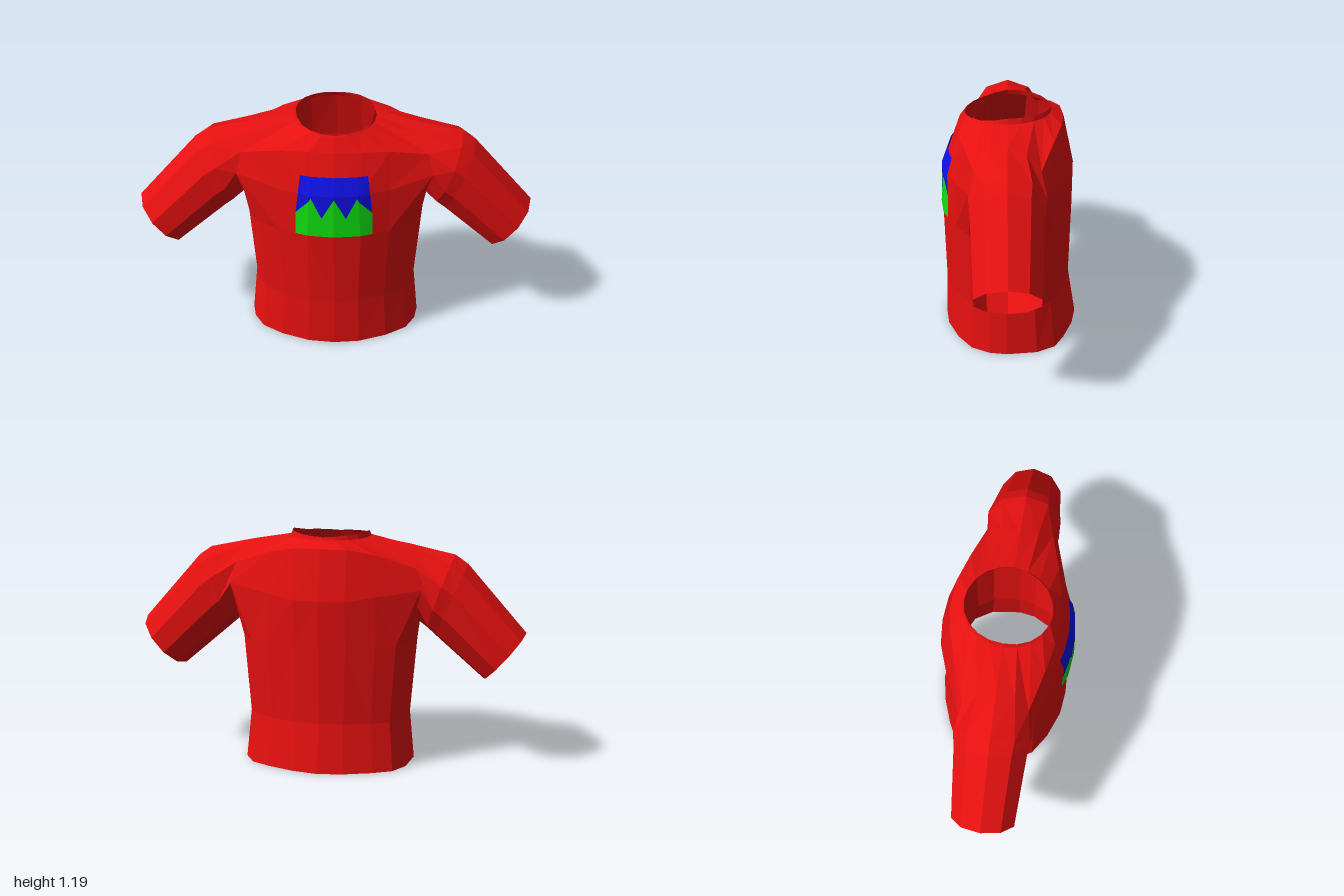
import * as THREE from 'three';

const red = new THREE.MeshStandardMaterial({ color: 0xe61010, flatShading: true, side: THREE.DoubleSide });
red.name = 'red cloth';
const blue = new THREE.MeshStandardMaterial({ color: 0x1010e6, flatShading: true, side: THREE.DoubleSide });
blue.name = 'blue print';
const green = new THREE.MeshStandardMaterial({ color: 0x10e010, flatShading: true, side: THREE.DoubleSide });
green.name = 'green print';

// Faces from four-cornered patches; mirror = -1 flips them to the other side
function quadMesh(name, quads, material, mirror = 1) {
  const pos = [];
  for (const [a, b, c, d] of quads) {
    const order = mirror > 0 ? [a, b, c, a, c, d] : [a, c, b, a, d, c];
    for (const p of order) pos.push(p[0] * mirror, p[1], p[2]);
  }
  const g = new THREE.BufferGeometry();
  g.setAttribute('position', new THREE.Float32BufferAttribute(pos, 3));
  g.computeVertexNormals();
  const mesh = new THREE.Mesh(g, material);
  mesh.name = name;
  return mesh;
}

// Interpolates a list of [key, value] pairs
function lerpTable(table, t) {
  for (let i = 1; i < table.length; i++) {
    const [k0, v0] = table[i - 1], [k1, v1] = table[i];
    if (t <= k1) return v0 + (v1 - v0) * (t - k0) / (k1 - k0);
  }
  return table[table.length - 1][1];
}

// Half outline of the body, front centre round the side to back centre
const outlineX = [0, 0.13, 0.27, 0.375, 0.425, 0.44, 0.42, 0.365, 0.27, 0.13, 0];
const outlineZ = [1, 0.955, 0.79, 0.58, 0.31, 0.05, -0.4, -0.66, -0.8, -0.94, -1];

function bodyRow(y, sx, front, back) {
  return outlineX.map((x, k) => [x * sx, y, outlineZ[k] * (outlineZ[k] > 0 ? front : back)]);
}

function neckRow(y, r, zr) {
  return outlineX.map((_, k) => {
    const a = k * Math.PI / 10;
    return [r * Math.sin(a), lerpTable(y, k), 0.01 + zr * Math.cos(a)];
  });
}

// Chest row, dipping at the side to form the underarm
const chest = [
  [0, 0.88, 0.335], [0.13, 0.88, 0.32], [0.27, 0.88, 0.265], [0.485, 0.925, 0.195], [0.465, 0.84, 0.135],
  [0.46, 0.73, 0.01], [0.465, 0.83, -0.12], [0.485, 0.925, -0.175], [0.27, 0.9, -0.26], [0.13, 0.88, -0.31], [0, 0.88, -0.322],
];
// Shoulder row, passing over the armhole
const shoulder = [
  [0, 1.08, 0.265], [0.13, 1.08, 0.253], [0.27, 1.07, 0.222], [0.46, 1.03, 0.17], [0.43, 1.1, 0.1],
  [0.4, 1.13, 0.01], [0.43, 1.105, -0.08], [0.46, 1.03, -0.15], [0.27, 1.1, -0.215], [0.13, 1.13, -0.255], [0, 1.13, -0.27],
];

function bodyQuads() {
  const rows = [
    bodyRow(0, 1, 0.335, 0.35),
    bodyRow(0.25, 0.945, 0.33, 0.31),
    bodyRow(0.65, 1.02, 0.342, 0.32),
    chest,
    shoulder,
    neckRow([[0, 1.145], [5, 1.163], [10, 1.165]], 0.205, 0.22),
    neckRow([[0, 1.152], [3, 1.165], [5, 1.19], [7, 1.19], [10, 1.18]], 0.196, 0.214),
  ];
  const quads = [];
  for (let r = 0; r < rows.length - 1; r++) {
    for (let k = 0; k < 10; k++) {
      if (r === 3 && k >= 3 && k < 7) continue; // armhole
      quads.push([rows[r][k], rows[r][k + 1], rows[r + 1][k + 1], rows[r + 1][k]]);
    }
  }
  return quads;
}

// Ten-sided sleeve ring, from the bottom over the front to the top and back
function sleeveRing([tx, ty], [bx, by], halfZ) {
  return Array.from({ length: 10 }, (_, j) => {
    const a = j * Math.PI / 5, t = (1 - Math.cos(a)) / 2;
    return [bx + (tx - bx) * t, by + (ty - by) * t, 0.01 + halfZ * Math.sin(a)];
  });
}

function sleeveQuads() {
  const armhole = [
    chest[5], chest[4], chest[3], shoulder[3], shoulder[4],
    shoulder[5], shoulder[6], shoulder[7], chest[7], chest[6],
  ];
  const rings = [
    armhole,
    sleeveRing([0.635, 1.08], [0.5, 0.7], 0.195),
    sleeveRing([0.7, 1.035], [0.54, 0.665], 0.185),
    sleeveRing([1.0, 0.695], [0.79, 0.45], 0.165),
  ];
  const quads = [];
  for (let i = 0; i < 3; i++) {
    for (let j = 0; j < 10; j++) {
      const n = (j + 1) % 10;
      quads.push([rings[i][j], rings[i + 1][j], rings[i + 1][n], rings[i][n]]);
    }
  }
  return quads;
}

// Thin print lying just above the chest, between two height functions
const printXs = [-0.19, -0.13, -0.12, -0.06, 0, 0.06, 0.12, 0.13, 0.19];
const zigzag = x => 0.865 - 0.108 * Math.abs(((Math.abs(x) + 0.06) % 0.12) - 0.06) / 0.06;

function printPoint(x, y) {
  const px = x * lerpTable([[0, 1], [0.76, 1], [0.97, 0.87]], y);
  const front = lerpTable([[0.65, 0.342], [0.88, 0.335], [1.08, 0.265]], y);
  return [px, y, front * lerpTable([[0, 1], [0.13, 0.955], [0.27, 0.79]], Math.abs(px)) + 0.008];
}

function printQuads(levels) {
  const quads = [];
  for (let i = 0; i < printXs.length - 1; i++) {
    const x0 = printXs[i], x1 = printXs[i + 1];
    for (let l = 0; l < levels.length - 1; l++) {
      const lo = levels[l], hi = levels[l + 1];
      quads.push([printPoint(x0, lo(x0)), printPoint(x1, lo(x1)), printPoint(x1, hi(x1)), printPoint(x0, hi(x0))]);
    }
  }
  return quads;
}

export function createModel() {
  const shirt = new THREE.Group();
  shirt.name = 'shirt';
  for (const [side, mirror] of [['left', 1], ['right', -1]]) {
    shirt.add(quadMesh(side + 'Body', bodyQuads(), red, mirror));
    shirt.add(quadMesh(side + 'Sleeve', sleeveQuads(), red, mirror));
  }
  // Chest print: green hills below a blue sky
  shirt.add(quadMesh('printHills', printQuads([() => 0.655, zigzag]), green));
  shirt.add(quadMesh('printSky', printQuads([zigzag, () => 0.88, () => 0.97]), blue));
  return shirt;
}
